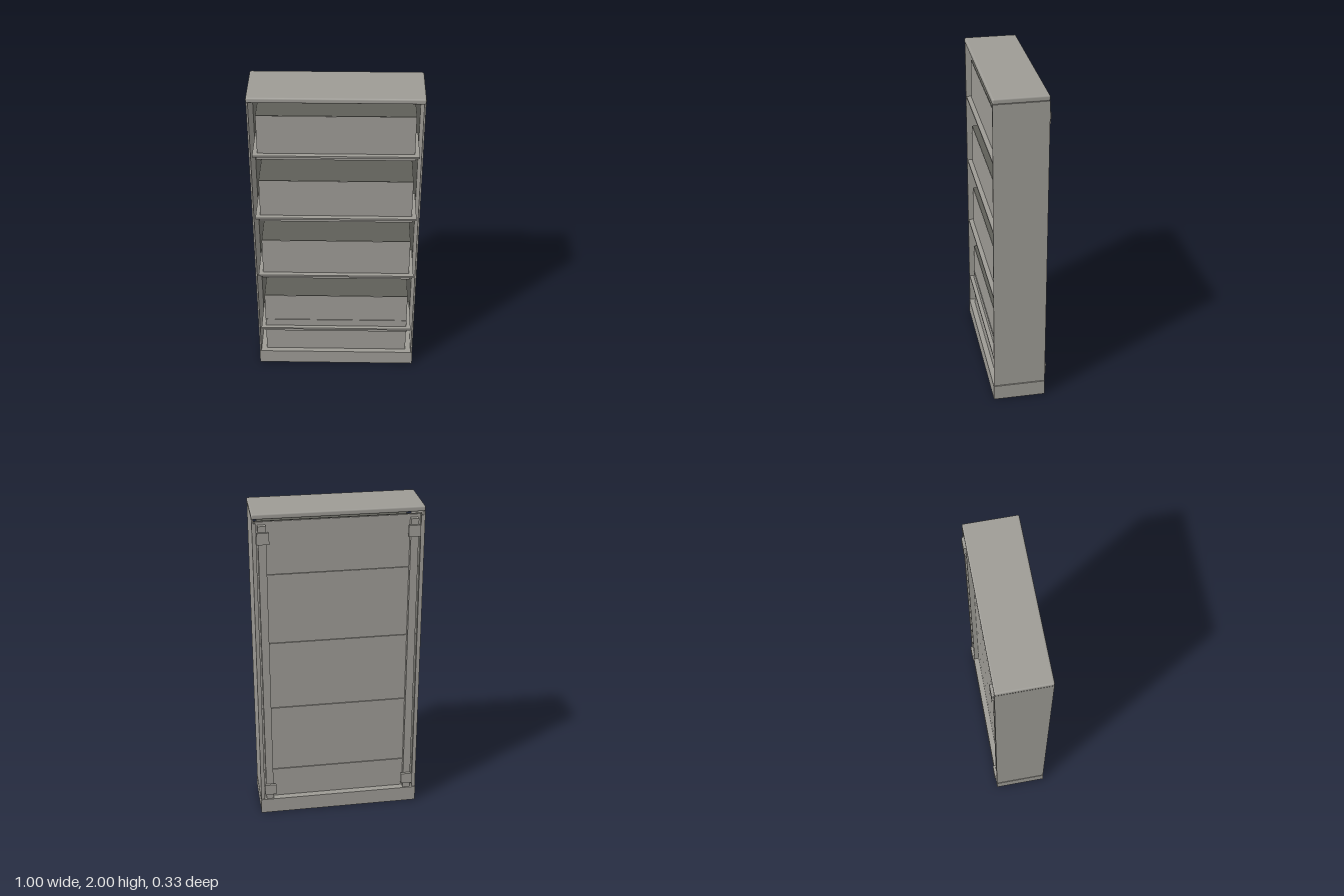
import * as THREE from 'three';
import { RoundedBoxGeometry } from 'three/addons/geometries/RoundedBoxGeometry.js';

export function createModel() {
  const model = new THREE.Group();
  model.name = 'bookcase';
  const mat = (name, color) => {
    const m = new THREE.MeshStandardMaterial({ color });
    m.name = name;
    return m;
  };
  const grey = mat('warmGrey', 0x9d9b95);
  const dark = mat('darkGrey', 0x5e5e58);
  const black = mat('footBlack', 0x353533);

  // Box given by its min and max along each axis
  const box = (name, [x0, x1], [y0, y1], [z0, z1], material = grey, radius = 0) => {
    const w = x1 - x0, h = y1 - y0, d = z1 - z0;
    const geo = radius ? new RoundedBoxGeometry(w, h, d, 2, radius) : new THREE.BoxGeometry(w, h, d);
    const mesh = new THREE.Mesh(geo, material);
    mesh.name = name;
    mesh.position.set((x0 + x1) / 2, (y0 + y1) / 2, (z0 + z1) / 2);
    model.add(mesh);
    return mesh;
  };
  const span = (s, a, b) => (s > 0 ? [a, b] : [-b, -a]);
  const back = -0.157, front = 0.162;

  // Rounded top
  box('top', [-0.5, 0.5], [1.967, 2], [back, front], grey, 0.01);

  // Hollow plinth, open underneath
  box('plinthFront', [-0.5, 0.5], [0, 0.098], [front - 0.012, front]);
  box('plinthBack', [-0.5, 0.5], [0, 0.098], [back, back + 0.012]);
  box('plinthLid', [-0.488, 0.488], [0.086, 0.098], [back + 0.012, front - 0.012]);
  box('plinthLabelBar', [-0.04, 0.04], [0.03, 0.045], [front - 0.018, front - 0.012]);

  for (const s of [-1, 1]) {
    box('plinthSide', span(s, 0.488, 0.5), [0, 0.098], [back + 0.012, front - 0.012]);
    // Side walls with a folded rear flange
    box('sideWall', span(s, 0.488, 0.498), [0.102, 1.967], [back, front - 0.002]);
    box('rearFlange', span(s, 0.475, 0.488), [0.102, 1.945], [back, back + 0.008]);
    // Rear posts and their wall pads
    box('rearPost', span(s, 0.418, 0.464), [0.1, 1.925], [-0.152, -0.122]);
    for (const y of [0.14, 1.82]) {
      box('wallPad', span(s, 0.402, 0.473), [y, y + 0.07], [-0.168, -0.152]);
    }
    // Levelling feet inside the plinth
    for (const z of [-0.115, 0.12]) {
      const foot = new THREE.Group();
      foot.name = 'levellingFoot';
      const stem = new THREE.Mesh(new THREE.CylinderGeometry(0.008, 0.008, 0.07, 12), black);
      const disc = new THREE.Mesh(new THREE.CylinderGeometry(0.018, 0.02, 0.014, 16), black);
      stem.name = 'footStem';
      disc.name = 'footDisc';
      stem.position.y = 0.05;
      disc.position.y = 0.008;
      foot.add(stem, disc);
      foot.position.set(s * 0.445, 0, z);
      model.add(foot);
    }
  }

  // Dark back liner with pale panels behind it
  box('backLiner', [-0.488, 0.488], [0.1, 1.945], [-0.115, -0.109], dark);
  const seams = [0.1, 0.3, 0.74, 1.18, 1.62, 1.945];
  for (let i = 0; i < 5; i++) {
    box('backPanel', [-0.475, 0.475], [seams[i] + 0.002, seams[i + 1] - 0.002], [-0.122, -0.115]);
  }

  // Shelves with front lips, each carrying a storage box with a dark top
  const storage = (y0, y1) => {
    box('storageBox', [-0.453, 0.453], [y0, y1], [-0.109, 0.13]);
    box('storageBoxTop', [-0.451, 0.451], [y1, y1 + 0.003], [-0.109, 0.129], dark);
  };
  for (let i = 0; i < 4; i++) {
    const y = seams[i + 1];
    box('shelf', [-0.48, 0.48], [y - 0.012, y], [-0.109, 0.158]);
    box('shelfLip', [-0.458, 0.458], [y - 0.03, y - 0.012], [0.122, 0.15]);
    storage(y, y + 0.247);
  }
  box('lowerBox', [-0.453, 0.453], [0.098, 0.288], [-0.109, 0.13]);
  box('lowerRail', [-0.453, 0.453], [0.3, 0.35], [0.13, 0.134]);

  return model;
}
